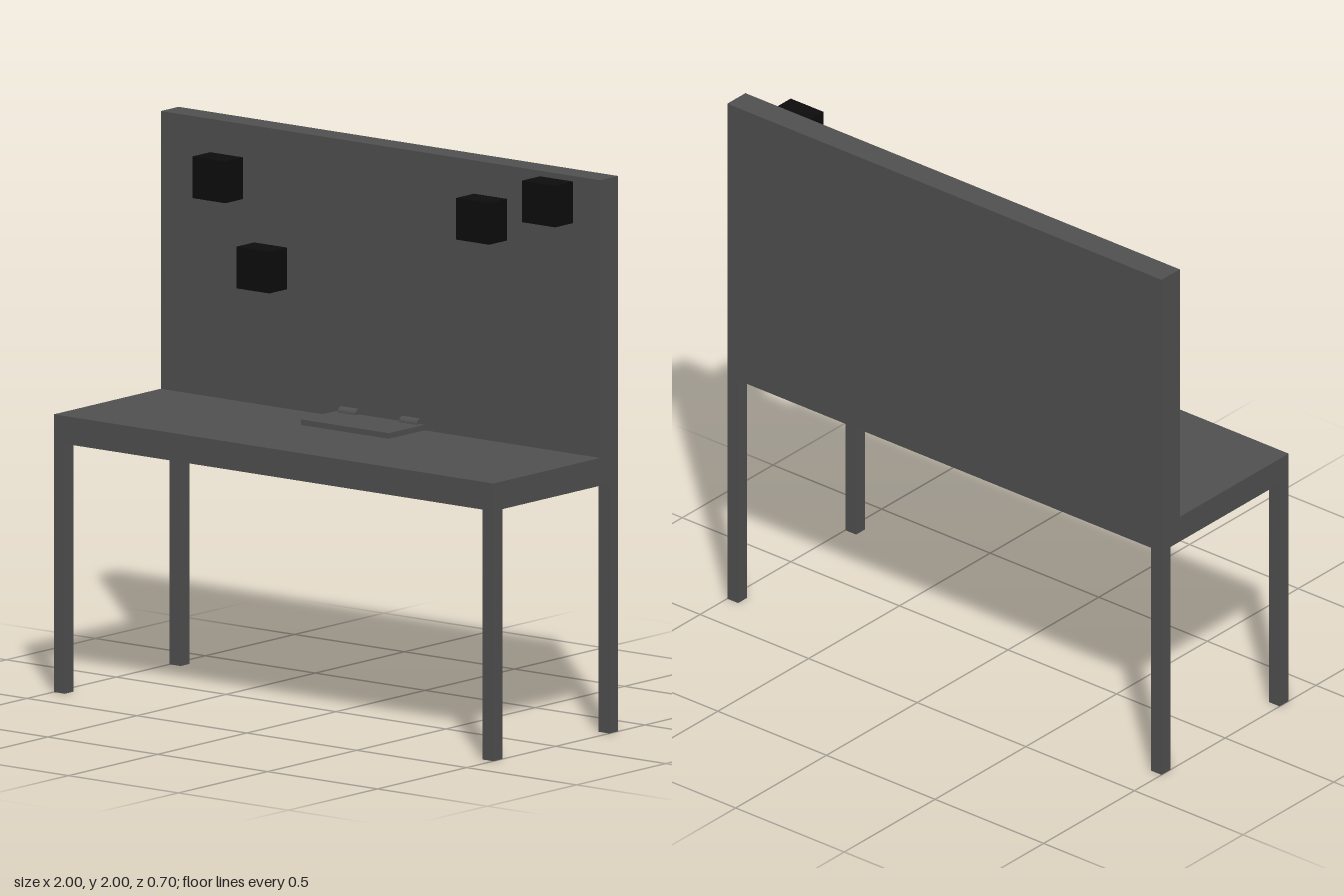
import * as THREE from 'three';

export function createModel() {
  const model = new THREE.Group();
  const grey = new THREE.MeshStandardMaterial({ color: 0x505050 });
  const black = new THREE.MeshStandardMaterial({ color: 0x0d0d0d });

  function add(name, geometry, material, x, y, z) {
    const mesh = new THREE.Mesh(geometry, material);
    mesh.name = name;
    mesh.position.set(x, y, z);
    model.add(mesh);
    return mesh;
  }
  const box = (name, w, h, d, x, y, z, material = grey) =>
    add(name, new THREE.BoxGeometry(w, h, d), material, x, y, z);

  // Worktop and upright back panel
  box('worktop', 2, 0.1, 0.7, 0, 0.95, 0);
  box('backPanel', 2, 1, 0.1, 0, 1.5, -0.3);

  // Square legs flush with the four corners
  for (const x of [-0.975, 0.975]) {
    for (const z of [-0.325, 0.325]) box('leg', 0.05, 0.9, 0.05, x, 0.45, z);
  }

  // Blocks mounted on the panel
  for (const [x, y] of [[-0.7, 1.805], [-0.5, 1.505], [0.5, 1.805], [0.8, 1.905]]) {
    box('panelBlock', 0.15, 0.15, 0.1, x, y, -0.2, black);
  }

  // Thin plate against the panel, with two hinge barrels along its rear edge
  box('plate', 0.4, 0.02, 0.2, 0, 1.01, -0.15);
  for (const x of [-0.14, 0.14]) {
    add('hinge', new THREE.CylinderGeometry(0.02, 0.02, 0.08, 16), grey, x, 1.02, -0.25)
      .rotation.z = Math.PI / 2;
  }
  return model;
}
